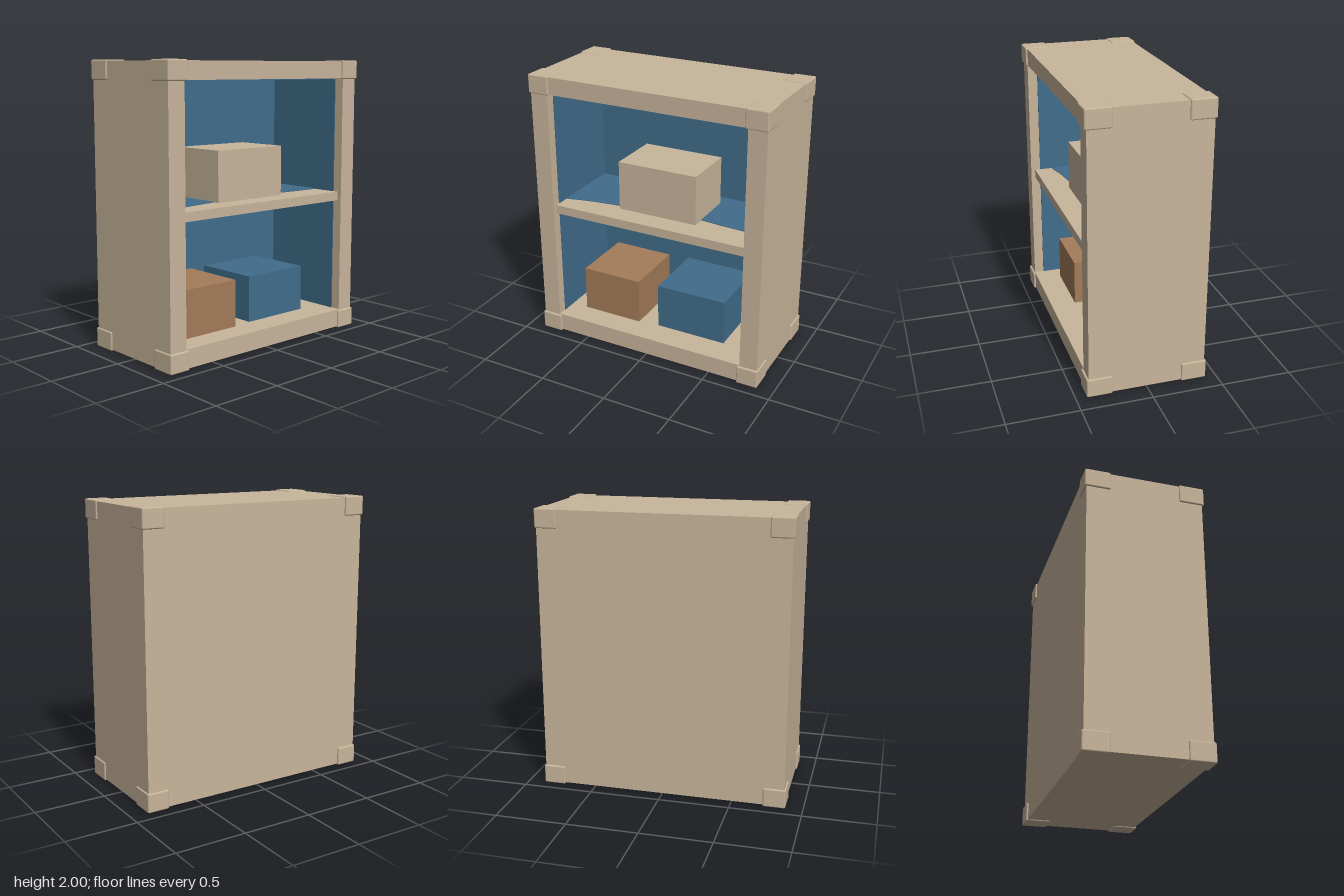
import * as THREE from 'three';
import { RoundedBoxGeometry } from 'three/addons/geometries/RoundedBoxGeometry.js';

export function createModel() {
  const model = new THREE.Group();
  model.name = 'displayCabinet';

  const material = (name, color) => {
    const m = new THREE.MeshStandardMaterial({ color });
    m.name = name;
    return m;
  };
  const cream = material('cream', 0xc9b69c);
  const blue = material('blue', 0x416d8b);
  const brown = material('brown', 0xa47c5a);

  // Box given by its lower and upper limits on each axis
  const block = (name, mat, [x0, x1], [y0, y1], [z0, z1], parent = model) => {
    const mesh = new THREE.Mesh(new THREE.BoxGeometry(x1 - x0, y1 - y0, z1 - z0), mat);
    mesh.position.set((x0 + x1) / 2, (y0 + y1) / 2, (z0 + z1) / 2);
    mesh.name = name;
    parent.add(mesh);
    return mesh;
  };

  // Cabinet shell
  const shell = new THREE.Group();
  shell.name = 'shell';
  model.add(shell);
  const depth = [-0.412, 0.41];
  block('rightWall', cream, [-0.87, -0.74], [0.14, 1.87], depth, shell);
  block('leftWall', cream, [0.74, 0.87], [0.14, 1.87], depth, shell);
  block('bottomPanel', cream, [-0.87, 0.87], [0.01, 0.14], depth, shell);
  block('topPanel', cream, [-0.87, 0.87], [1.87, 1.992], depth, shell);
  block('backPanel', cream, [-0.74, 0.74], [0.14, 1.87], [-0.412, -0.3], shell);

  // Painted lining inside
  const lining = new THREE.Group();
  lining.name = 'lining';
  model.add(lining);
  block('backLining', blue, [-0.74, 0.74], [0.14, 1.87], [-0.3, -0.292], lining);
  block('rightLining', blue, [-0.74, -0.734], [0.14, 1.87], [-0.292, 0.34], lining);
  block('leftLining', blue, [0.734, 0.74], [0.14, 1.87], [-0.292, 0.34], lining);
  block('ceilingLining', blue, [-0.734, 0.734], [1.864, 1.87], [-0.292, 0.34], lining);

  // Shelf, with a painted area whose front edge is uneven
  block('shelf', cream, [-0.738, 0.738], [0.97, 1.034], [-0.3, 0.38]);
  const paint = new THREE.Shape();
  paint.moveTo(-0.733, 0.29);
  paint.lineTo(0.733, 0.29);
  paint.lineTo(0.733, -0.16);
  paint.splineThru([[0.5, -0.15], [0.27, -0.13], [0, -0.15], [-0.32, -0.18], [-0.55, -0.21], [-0.733, -0.25]]
    .map(([x, y]) => new THREE.Vector2(x, y)));
  const paintGeometry = new THREE.ExtrudeGeometry(paint, { depth: 0.004, bevelEnabled: false, curveSegments: 16 });
  paintGeometry.rotateX(-Math.PI / 2);
  const shelfPaint = new THREE.Mesh(paintGeometry, blue);
  shelfPaint.name = 'shelfPaint';
  shelfPaint.position.y = 1.034;
  model.add(shelfPaint);

  // Storage boxes
  block('creamBox', cream, [-0.3, 0.3], [1.034, 1.392], [-0.19, 0.22]);
  block('brownBox', brown, [-0.61, -0.15], [0.14, 0.477], [-0.26, 0.23]);
  block('blueBox', blue, [0, 0.53], [0.14, 0.473], [-0.288, 0.21]);

  // Protective caps on all eight corners
  const capGeometry = new RoundedBoxGeometry(0.158, 0.135, 0.18, 1, 0.01);
  for (const x of [-1, 1]) for (const y of [0, 1]) for (const z of [-1, 1]) {
    const cap = new THREE.Mesh(capGeometry, cream);
    cap.name = 'cornerCap';
    cap.position.set(x * 0.801, y ? 1.9325 : 0.0675, z * 0.335);
    model.add(cap);
  }

  return model;
}
